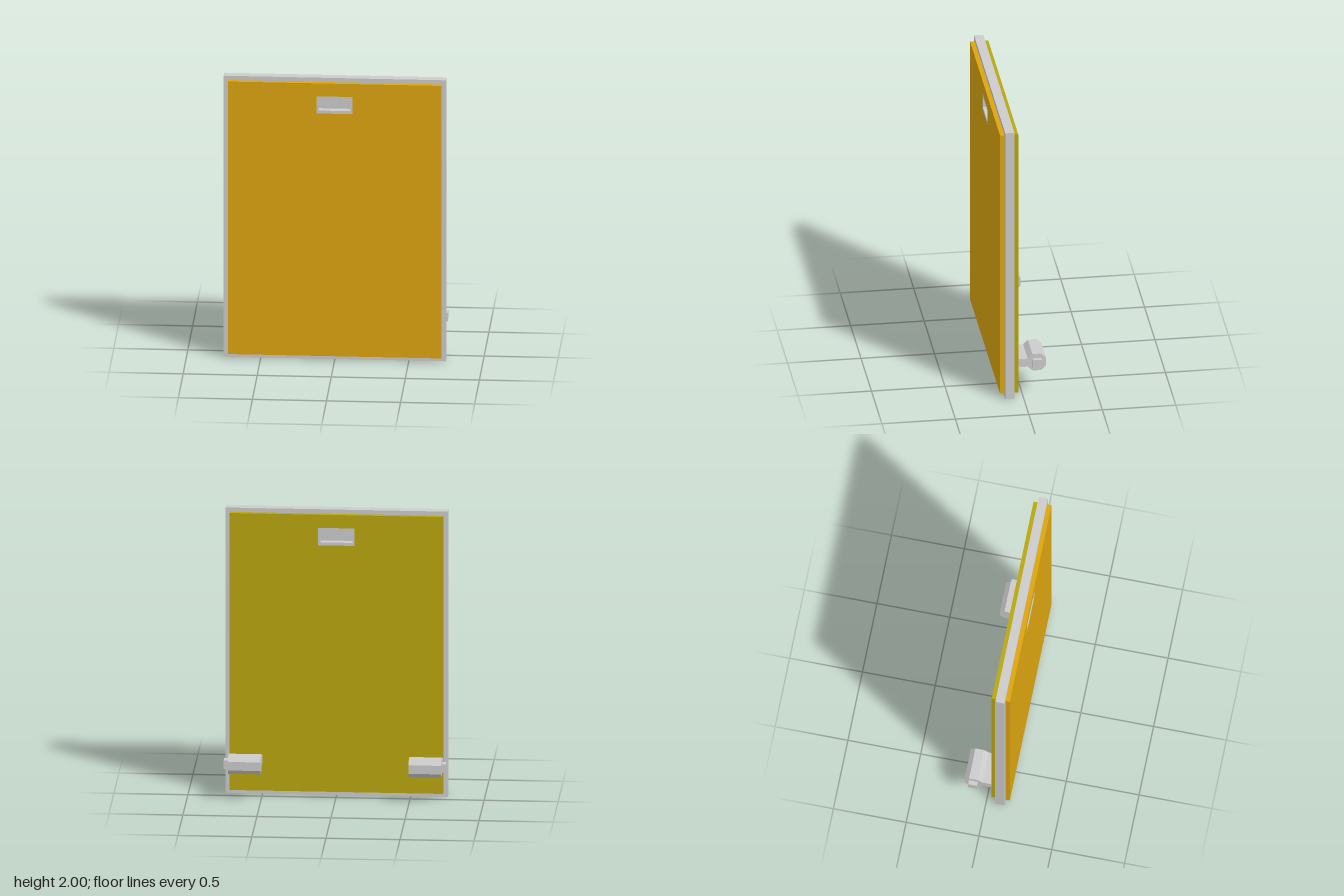
import * as THREE from 'three';

const material = (color) => new THREE.MeshStandardMaterial({ color, flatShading: true });

// Corner points of an axis-aligned rectangle
const rect = (x0, y0, x1, y1) => [[x0, y0], [x1, y0], [x1, y1], [x0, y1]].map(([x, y]) => new THREE.Vector2(x, y));

// Rectangular slab between two depths, with a rectangular cut-out
function slab(name, outer, hole, z0, z1, mat) {
  const shape = new THREE.Shape(rect(...outer));
  shape.holes.push(new THREE.Path(rect(...hole).reverse()));
  const geometry = new THREE.ExtrudeGeometry(shape, { depth: z1 - z0, bevelEnabled: false });
  geometry.translate(0, 0, z0);
  const mesh = new THREE.Mesh(geometry, mat);
  mesh.name = name;
  return mesh;
}

function box(name, w, h, d, x, y, z, mat) {
  const mesh = new THREE.Mesh(new THREE.BoxGeometry(w, h, d), mat);
  mesh.name = name;
  mesh.position.set(x, y, z);
  return mesh;
}

export function createModel() {
  const model = new THREE.Group();
  model.name = 'hingedPanel';
  const grey = material(0xcccccc);

  const rimOuter = [-0.122, 1.756, 0.122, 1.878];
  const rimInner = [-0.108, 1.777, 0.108, 1.86];
  const panel = [-0.72, 0.03, 0.72, 1.97];

  // Core slab with a coloured panel on each face
  model.add(slab('frame', [-0.75, 0, 0.75, 2], rimOuter, 0.062, 0.125, grey));
  model.add(slab('frontPanel', panel, rimOuter, 0.125, 0.156, material(0xdca50f)));
  model.add(slab('backPanel', panel, rimOuter, 0.032, 0.062, material(0xb8a60f)));

  // Finger pull: a flush rim through the door, recessed from both faces
  const pull = new THREE.Group();
  pull.name = 'fingerPull';
  pull.add(slab('pullRim', rimOuter, rimInner, 0.032, 0.156, grey));
  pull.add(box('pullFloor', 0.216, 0.083, 0.026, 0, 1.8185, 0.094, grey));
  model.add(pull);

  // Hinges: octagonal barrel with a neck, extruded along x, and a square outer pin
  const cz = -0.094, cy = 0.25, r = 0.062, c = 0.03;
  const half = [[0.032 - cz, c], [r, c], [c, r], [-c, r], [-r, c]];
  const outline = [...half, ...half.map(([z, y]) => [z, -y]).reverse()];
  const profile = new THREE.Shape(outline.map(([z, y]) => new THREE.Vector2(-(z + cz), y + cy)));
  for (const side of [-1, 1]) {
    const hinge = new THREE.Group();
    hinge.name = side > 0 ? 'leftHinge' : 'rightHinge';
    const geometry = new THREE.ExtrudeGeometry(profile, { depth: 0.22, bevelEnabled: false });
    geometry.rotateY(Math.PI / 2); // shape x becomes -z, depth becomes x
    geometry.translate(side > 0 ? 0.5 : -0.72, 0, 0);
    const barrel = new THREE.Mesh(geometry, grey);
    barrel.name = 'hingeBarrel';
    hinge.add(barrel, box('hingePin', 0.03, 0.06, 0.06, side * 0.735, cy, cz, grey));
    model.add(hinge);
  }
  return model;
}
